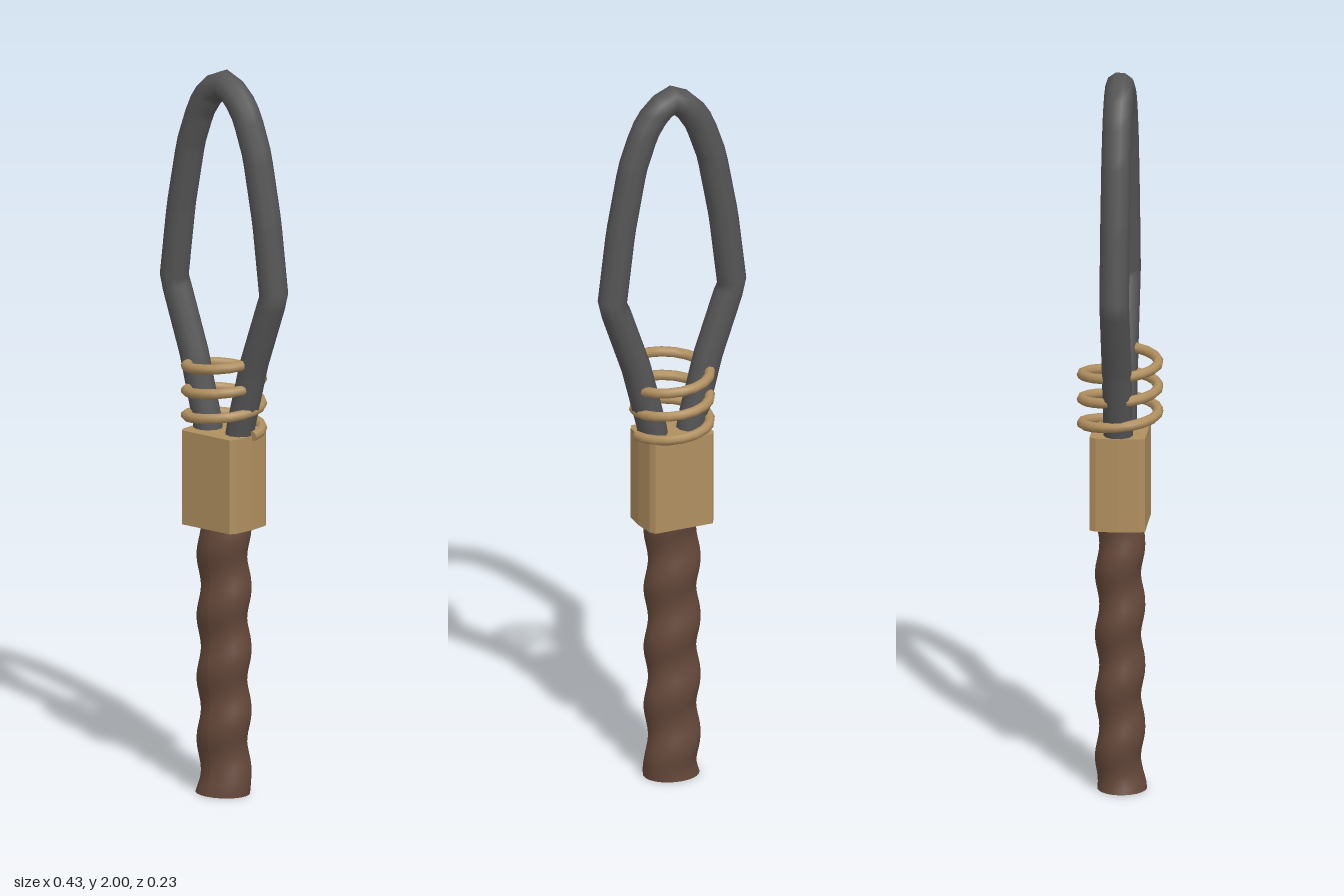
import * as THREE from 'three';

const brass = new THREE.MeshStandardMaterial({ color: 0xb08f5f });
const iron = new THREE.MeshStandardMaterial({ color: 0x555555 });
const leather = new THREE.MeshStandardMaterial({ color: 0x65483a });

function part(name, geometry, material) {
  const mesh = new THREE.Mesh(geometry, material);
  mesh.name = name;
  return mesh;
}

// Grip: oval column with a spiral ripple, closed at both ends
function gripGeometry(height) {
  const geo = new THREE.CylinderGeometry(1, 1, height, 24, 48);
  geo.translate(0, height / 2, 0);
  const pos = geo.attributes.position;
  for (let i = 0; i < pos.count; i++) {
    const x = pos.getX(i), y = pos.getY(i), z = pos.getZ(i);
    const wave = 0.006 * Math.cos(Math.atan2(x, z) - (y / 0.17) * Math.PI * 2);
    const flare = 0.005 * Math.max(0, 1 - y / 0.04);
    pos.setX(i, x * (0.073 + wave + flare));
    pos.setZ(i, z * (0.062 + wave + flare));
  }
  geo.computeVertexNormals();
  return geo;
}

// Collar: block with flat front and back and bulging sides
function collarGeometry(bottom, top) {
  const shape = new THREE.Shape();
  [
    [0.085, 0.075], [-0.085, 0.075], [-0.095, 0.058], [-0.1, 0], [-0.095, -0.058],
    [-0.085, -0.075], [0.085, -0.075], [0.095, -0.058], [0.1, 0], [0.095, 0.058],
  ].forEach(([x, z], i) => (i ? shape.lineTo(x, z) : shape.moveTo(x, z)));
  const geo = new THREE.ExtrudeGeometry(shape, { depth: top - bottom, bevelEnabled: false });
  geo.rotateX(-Math.PI / 2);
  geo.translate(0, bottom, 0);
  return geo;
}

// Loop: one side's centre line, mirrored to the other side
function loopCurve() {
  const side = [[0.05, 0.96], [0.06, 1.02], [0.107, 1.2], [0.178, 1.4], [0.153, 1.6], [0.118, 1.78], [0.082, 1.88], [0.045, 1.935]];
  const points = [...side, [0, 1.958], ...side.map(([x, y]) => [-x, y]).reverse()];
  const path = new THREE.CurvePath();
  for (let i = 1; i < points.length; i++) {
    path.add(new THREE.LineCurve3(new THREE.Vector3(...points[i - 1], 0), new THREE.Vector3(...points[i], 0)));
  }
  return path;
}

// Wire: three turns, rising from the left side round the back
class Helix extends THREE.Curve {
  getPoint(t, target = new THREE.Vector3()) {
    const a = t * Math.PI * 6;
    return target.set(0.102 * Math.cos(a), 1.0 + 0.205 * t, -0.103 * Math.sin(a));
  }
}

export function createModel() {
  const model = new THREE.Group();
  model.name = 'loopedTool';
  model.add(part('grip', gripGeometry(0.745), leather));
  model.add(part('collar', collarGeometry(0.74, 1.0), brass));
  model.add(part('loop', new THREE.TubeGeometry(loopCurve(), 60, 0.04, 10), iron));

  const helix = new Helix();
  const wire = new THREE.Group();
  wire.name = 'wireBinding';
  wire.add(part('wireCoil', new THREE.TubeGeometry(helix, 54, 0.014, 8), brass));
  // Flat caps on the wire ends
  for (const t of [0, 1]) {
    const cap = part('wireEnd', new THREE.CircleGeometry(0.014, 8), brass);
    const outward = helix.getTangent(t).multiplyScalar(t ? 1 : -1);
    cap.position.copy(helix.getPoint(t));
    cap.quaternion.setFromUnitVectors(new THREE.Vector3(0, 0, 1), outward);
    wire.add(cap);
  }
  model.add(wire);
  return model;
}
